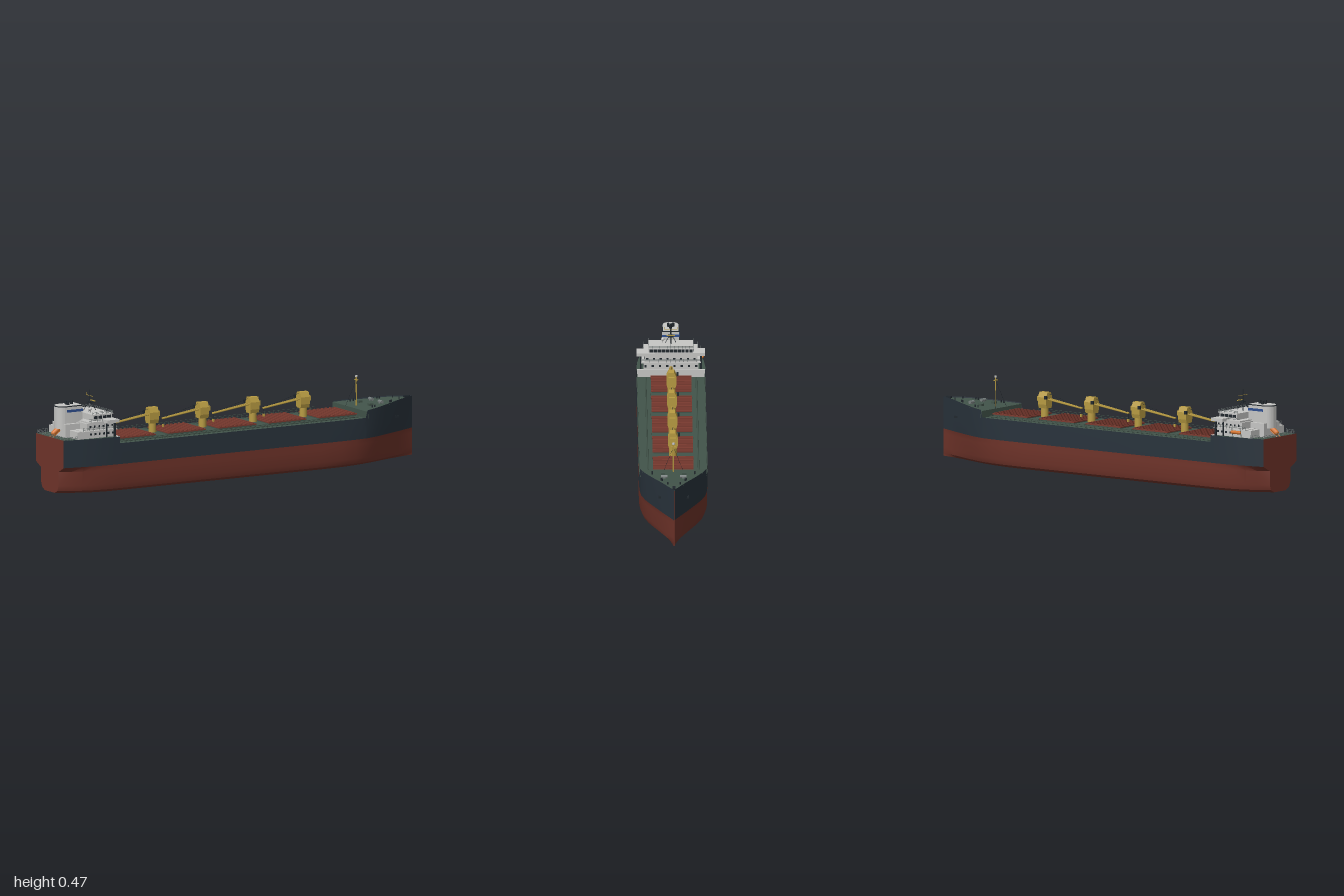
import * as THREE from 'three';
import { mergeGeometries, toCreasedNormals } from 'three/addons/utils/BufferGeometryUtils.js';

const mat = (name, color, side = THREE.FrontSide) => {
  const m = new THREE.MeshStandardMaterial({ color, side });
  m.name = name;
  return m;
};
const M = {
  navy: mat('navy hull', 0x29333c, THREE.DoubleSide),
  red: mat('antifouling red', 0x70342a, THREE.DoubleSide),
  green: mat('deck green', 0x42544a),
  hatch: mat('hatch red', 0x7a3a2f),
  yellow: mat('crane yellow', 0xb89b42),
  white: mat('house white', 0xc6c6c4),
  dark: mat('window dark', 0x20272d),
  blue: mat('funnel blue', 0x2f4f8f),
  orange: mat('lifeboat orange', 0xd5742c),
  grey: mat('fitting grey', 0x757d7c),
};

// Box from min/max corners
const box = (x0, x1, y0, y1, z0, z1) =>
  new THREE.BoxGeometry(x1 - x0, y1 - y0, z1 - z0).translate((x0 + x1) / 2, (y0 + y1) / 2, (z0 + z1) / 2);
// Round bar between two points
const bar = (a, b, r, sides = 5) => {
  const p = new THREE.Vector3(...a), d = new THREE.Vector3(...b).sub(p), n = d.length();
  const q = new THREE.Quaternion().setFromUnitVectors(new THREE.Vector3(0, 1, 0), d.normalize());
  return new THREE.CylinderGeometry(r, r, n, sides).translate(0, n / 2, 0).applyQuaternion(q).translate(...p);
};
// Merge geometries into one named mesh, keeping only position and normal
const add = (group, name, material, geos) => {
  const list = [].concat(geos).map(g => {
    const flat = g.index ? g.toNonIndexed() : g;
    return flat.deleteAttribute('uv');
  });
  const mesh = new THREE.Mesh(mergeGeometries(list), material);
  mesh.name = name;
  group.add(mesh);
};

// Hull half-widths by station: x, deck, side below waterline, flat bottom
const STATIONS = [
  [-1, .128, .08, .045], [-0.95, .138, .112, .075], [-0.9, .147, .135, .1], [-0.84, .157, .152, .122],
  [-0.76, .163, .161, .134], [-0.7, .163, .162, .135], [0.4, .163, .162, .135], [0.52, .163, .161, .13],
  [0.6, .162, .155, .118], [0.66, .157, .146, .105], [0.72, .14, .126, .087], [0.78, .114, .1, .066],
  [0.84, .086, .072, .045], [0.9, .056, .045, .026], [0.95, .029, .022, .012], [1, .001, .001, .001]];
const widths = x => {
  let i = 0;
  while (i < STATIONS.length - 2 && x > STATIONS[i + 1][0]) i++;
  const a = STATIONS[i], b = STATIONS[i + 1], t = (x - a[0]) / (b[0] - a[0]);
  return [1, 2, 3].map(k => a[k] + (b[k] - a[k]) * t);
};
const stationsBetween = (x0, x1) => [x0, ...STATIONS.map(s => s[0]).filter(x => x > x0 + .001 && x < x1 - .001), x1];
// Loft a row of [y, z] points along the stations, mirrored to both sides
function loft(x0, x1, section) {
  const xs = stationsBetween(x0, x1);
  const halves = [1, -1].map(s => {
    const pos = [], idx = [];
    xs.forEach((x, i) => {
      const row = section(x), n = row.length;
      row.forEach(([y, z]) => pos.push(x, y, s * z));
      if (i) for (let j = 0; j < n - 1; j++) {
        const a = (i - 1) * n + j, b = a + n, c = b + 1, d = a + 1;
        idx.push(...(s > 0 ? [a, b, c, a, c, d] : [a, c, b, a, d, c]));
      }
    });
    const g = new THREE.BufferGeometry();
    g.setAttribute('position', new THREE.Float32BufferAttribute(pos, 3));
    g.setIndex(idx);
    return toCreasedNormals(g, 0.5);
  });
  return mergeGeometries(halves);
}
// Top edge of the raised bow
const sheer = x => (x < .66 ? .23 + (x - .65) * 3.5 : .265 + .018 * Math.min(1, (x - .66) / .24));

function buildHull(g) {
  const lower = x => {
    const [wd, wl, wb] = widths(x);
    const ww = x > 0 ? (wd + wl) / 2 : wd;
    return [[0, 0], [0, wb], [.013, wb + (wl - wb) * .72], [.038, wl], [.105, wl], [.13, ww]];
  };
  const upper = top => x => {
    const [wd, wl] = widths(x), ww = x > 0 ? (wd + wl) / 2 : wd;
    return [[.13, ww], [.18, (ww + wd) / 2], [top(x), wd]];
  };
  const deck = top => x => [[top(x), widths(x)[0]], [top(x), 0]];
  add(g, 'lowerHull', M.red, loft(-1, 1, lower));
  add(g, 'topsides', M.navy, [loft(-1, -.71, upper(() => .262)), loft(-.71, .65, upper(() => .23)), loft(.65, 1, upper(sheer))]);
  add(g, 'decks', M.green, [loft(-1, -.71, deck(() => .26)), loft(-.71, .66, deck(() => .226)),
    loft(.66, 1, deck(x => sheer(x) - .005)), box(.655, .665, .226, .2595, -.155, .155)]);
  // Flat transom
  const half = lower(-1).concat([[.262, .128]]);
  const outline = half.map(([y, z]) => new THREE.Vector2(z, y))
    .concat(half.slice(1).reverse().map(([y, z]) => new THREE.Vector2(-z, y)));
  add(g, 'transom', M.red, new THREE.ShapeGeometry(new THREE.Shape(outline)).rotateY(-Math.PI / 2).translate(-1, 0, 0));
  // Anchors on the bow
  for (const s of [1, -1]) add(g, 'anchor', M.dark, box(.862, .885, .198, .208, s * .066 - .006, s * .066 + .006));
}

// Posts and two rails through a list of points
function railing(points, h) {
  const out = [];
  points.forEach((p, i) => {
    out.push(bar(p, [p[0], p[1] + h, p[2]], .0009, 4));
    if (i) for (const k of [.5, 1]) {
      const q = points[i - 1];
      out.push(bar([q[0], q[1] + h * k, q[2]], [p[0], p[1] + h * k, p[2]], .0008, 4));
    }
  });
  return out;
}
const line = (a, b, n) => Array.from({ length: n + 1 }, (_, i) => a.map((v, k) => v + (b[k] - v) * i / n));

function buildHatches(g) {
  for (let i = 0; i < 5; i++) {
    const x = -.68 + i * .2775, w = .208;
    add(g, 'hatchCoaming', M.green, box(x + .003, x + w - .003, .226, .238, -.092, .092));
    const ribs = [box(x, x + w, .238, .244, -.096, .096)];
    for (let k = 0; k < 9; k++) ribs.push(box(x + .01 + k * .0225, x + .018 + k * .0225, .244, .248, -.095, .095));
    add(g, 'hatchCover', M.hatch, ribs);
    if (i < 4) add(g, 'cranePlatform', M.green, box(x + w + .006, x + .2715, .226, .236, -.1, .1));
  }
  for (const s of [1, -1]) {
    add(g, 'deckRail', M.green, railing(line([-.7, .228, s * .16], [.56, .228, s * .16], 50), .017));
    add(g, 'deckPipe', M.green, bar([-.68, .232, s * .12], [.63, .232, s * .12], .004, 6));
  }
}

function buildCrane(x) {
  const g = new THREE.Group();
  g.name = 'deckCrane';
  const prof = [[-.019, .28], [-.024, .298], [-.024, .332], [-.013, .356], [.013, .356], [.024, .332], [.024, .298], [.019, .28]];
  const house = new THREE.ExtrudeGeometry(new THREE.Shape(prof.map(p => new THREE.Vector2(...p))), { depth: .048, bevelEnabled: false })
    .rotateY(Math.PI / 2).translate(-.026, 0, 0);
  add(g, 'craneHouse', M.yellow, [house, box(.02, .035, .312, .335, -.014, .014)]);
  add(g, 'cranePedestal', M.yellow, new THREE.CylinderGeometry(.018, .019, .07, 12).translate(0, .256, 0));
  add(g, 'craneCab', M.dark, box(-.034, -.02, .325, .34, -.034, -.0235));
  const jib = [bar([-.222, .296, 0], [-.19, .3, 0], .005)];
  for (const s of [1, -1]) jib.push(bar([-.02, .324, s * .011], [-.222, .296, s * .004], .0038, 4));
  for (let k = 1; k < 9; k++) {
    const t = k / 9, px = -.02 - .202 * t, py = .324 - .028 * t, w = .011 - .007 * t;
    jib.push(bar([px, py, -w], [px, py, w], .002, 4));
  }
  add(g, 'craneJib', M.yellow, jib);
  add(g, 'craneCables', M.dark, [bar([-.018, .35, 0], [-.215, .3, 0], .0008, 4), bar([-.218, .296, 0], [-.218, .268, 0], .0008, 4)]);
  add(g, 'craneHook', M.yellow, box(-.222, -.214, .255, .268, -.004, .004));
  g.position.x = x;
  return g;
}

function buildHouse(g) {
  add(g, 'accommodation', M.white, [box(-.925, -.715, .26, .296, -.13, .13), box(-.87, -.718, .296, .33, -.125, .125),
    box(-.72, -.708, .226, .2625, -.161, .161), box(-.9, -.712, .294, .298, -.142, .142), box(-.95, -.83, .26, .325, -.06, .06)]);
  add(g, 'bridgeWings', M.white, [box(-.78, -.712, .33, .345, -.162, .162), box(-.86, -.713, .33, .337, -.13, .13)]);
  add(g, 'wheelhouse', M.white, [box(-.825, -.72, .337, .364, -.105, .105), box(-.83, -.714, .364, .368, -.108, .108)]);
  // Windows in rows
  const wins = [];
  for (const [y, front, w] of [[.274, -.7145, .12], [.309, -.7175, .112]]) {
    for (let i = 0; i < 8; i++) {
      const z = -w + i * 2 * w / 7;
      wins.push(box(front - .002, front + .001, y, y + .01, z - .005, z + .005));
    }
    const z = y < .3 ? .13 : .125;
    for (const s of [1, -1]) for (let i = 0; i < 6; i++) {
      const x = -.855 + i * .024;
      wins.push(box(x, x + .009, y, y + .01, s * z - .001, s * z + .001));
    }
  }
  for (let i = 0; i < 11; i++) wins.push(box(-.721, -.719, .346, .361, -.103 + i * .0188, -.087 + i * .0188));
  for (const s of [1, -1]) for (let i = 0; i < 4; i++)
    wins.push(box(-.818 + i * .024, -.799 + i * .024, .347, .36, s * .105 - .001, s * .105 + .001));
  add(g, 'windows', M.dark, wins);
  add(g, 'wingPosts', M.dark, [1, -1].flatMap(s => [box(-.73, -.722, .26, .33, s * .142 - .004, s * .142 + .004),
    box(-.774, -.768, .26, .33, s * .142 - .003, s * .142 + .003)]));
  const rails = railing(line([-.716, .368, -.106], [-.716, .368, .106], 12), .011);
  for (const s of [1, -1]) rails.push(...railing(line([-.826, .368, s * .106], [-.716, .368, s * .106], 6), .011),
    ...railing(line([-.9, .298, s * .14], [-.715, .298, s * .14], 10), .015),
    ...railing(line([-.99, .26, s * .127], [-.93, .26, s * .14], 5), .017),
    ...railing(line([-.86, .337, s * .128], [-.785, .337, s * .128], 5), .013));
  rails.push(...railing(line([-.716, .298, -.14], [-.716, .298, .14], 14), .015), ...railing(line([-.99, .26, -.127], [-.99, .26, .127], 12), .015));
  add(g, 'houseRails', M.grey, rails);

  // Funnel: rounded aft, flat front
  const funnel = (y0, y1, grow) => {
    const r = .04 + grow, x1 = -.843 + grow, s = new THREE.Shape();
    s.moveTo(x1, r).lineTo(-.93, r).absarc(-.93, 0, r, Math.PI / 2, Math.PI * 1.5, false).lineTo(x1, -r).closePath();
    const geo = new THREE.ExtrudeGeometry(s, { depth: y1 - y0, bevelEnabled: false, curveSegments: 16 });
    return toCreasedNormals(geo.rotateX(-Math.PI / 2).translate(0, y0, 0), 0.5);
  };
  add(g, 'funnel', M.white, funnel(.3, .404, 0));
  add(g, 'funnelCap', M.dark, funnel(.404, .408, .001));
  add(g, 'funnelTop', M.white, funnel(.408, .4095, -.003));
  add(g, 'funnelStripe', M.blue, box(-.93, -.842, .378, .39, -.041, .041));
  add(g, 'exhausts', M.dark, [[-.905, -.011], [-.905, .011], [-.88, 0]].map(([x, z]) =>
    new THREE.CylinderGeometry(.007, .007, .018, 10).translate(x, .417, z)));

  // Radar mast
  add(g, 'radarMast', M.dark, [bar([-.78, .368, 0], [-.78, .47, 0], .0028, 8), bar([-.78, .42, 0], [-.8, .368, -.025], .0014),
    bar([-.78, .42, 0], [-.8, .368, .025], .0014), bar([-.78, .42, 0], [-.745, .368, 0], .0014), box(-.79, -.755, .408, .411, -.012, .012)]);
  add(g, 'mastYard', M.yellow, [bar([-.78, .441, -.032], [-.78, .441, .032], .0014),
    ...[1, -1].map(s => bar([-.78, .44, s * .031], [-.78, .453, s * .031], .0009)), box(-.765, -.76, .414, .418, -.02, .02)]);
  add(g, 'radome', M.white, [new THREE.SphereGeometry(.008, 14, 10).translate(-.8, .384, .038), bar([-.8, .366, .038], [-.8, .378, .038], .003)]);

  // Free-fall lifeboat on its ramp, and side rescue boat
  const boat = new THREE.CapsuleGeometry(.012, .04, 5, 10).rotateZ(Math.PI / 2).rotateZ(.62).translate(-.962, .29, 0);
  const rescue = new THREE.CapsuleGeometry(.008, .045, 5, 10).rotateZ(Math.PI / 2).translate(-.85, .285, -.149);
  add(g, 'lifeboats', M.orange, [boat, rescue]);
  add(g, 'lifeboatRamp', M.orange, [1, -1].flatMap(s => [bar([-.993, .258, s * .012], [-.935, .299, s * .012], .002),
    bar([-.945, .26, s * .012], [-.945, .292, s * .012], .002)]));
  add(g, 'davit', M.grey, [-.875, -.825].map(x => bar([x, .26, -.138], [x, .305, -.148], .002)));
}

function buildForedeck(g) {
  add(g, 'foremast', M.yellow, [bar([.692, .258, 0], [.692, .4, 0], .0035, 8), box(.687, .697, .385, .388, -.012, .012)]);
  add(g, 'foremastLight', M.white, new THREE.CylinderGeometry(.006, .006, .008, 8).translate(.692, .403, 0));
  add(g, 'mastStays', M.dark, [1, -1].map(s => bar([.692, .385, 0], [.66, .258, s * .045], .0007, 4)));
  for (const s of [1, -1]) {
    add(g, 'windlass', M.grey, [new THREE.CylinderGeometry(.008, .008, .03, 10).rotateX(Math.PI / 2).translate(.8, .278, s * .045),
      box(.792, .808, .262, .279, s * .045 - .006, s * .045 + .006)]);
    add(g, 'bollards', M.dark, [[.72, .1], [.735, .1], [.84, .06], [.852, .055], [.91, .03]].map(([x, z]) =>
      new THREE.CylinderGeometry(.0035, .0035, .012, 8).translate(x, sheer(x), s * z)));
    add(g, 'deckHousing', M.green, box(.73, .75, .26, .276, s * .05 - .01, s * .05 + .01));
  }
  add(g, 'bowFitting', M.dark, box(.955, .985, .276, .287, -.007, .007));
}

export function createModel() {
  const ship = new THREE.Group();
  ship.name = 'bulkCarrier';
  const section = (name, build) => {
    const g = new THREE.Group();
    g.name = name;
    build(g);
    ship.add(g);
  };
  section('hull', buildHull);
  section('cargoDeck', buildHatches);
  section('cranes', g => [-.434, -.157, .121, .399].forEach(x => g.add(buildCrane(x))));
  section('aftHouse', buildHouse);
  section('foredeck', buildForedeck);
  return ship;
}
